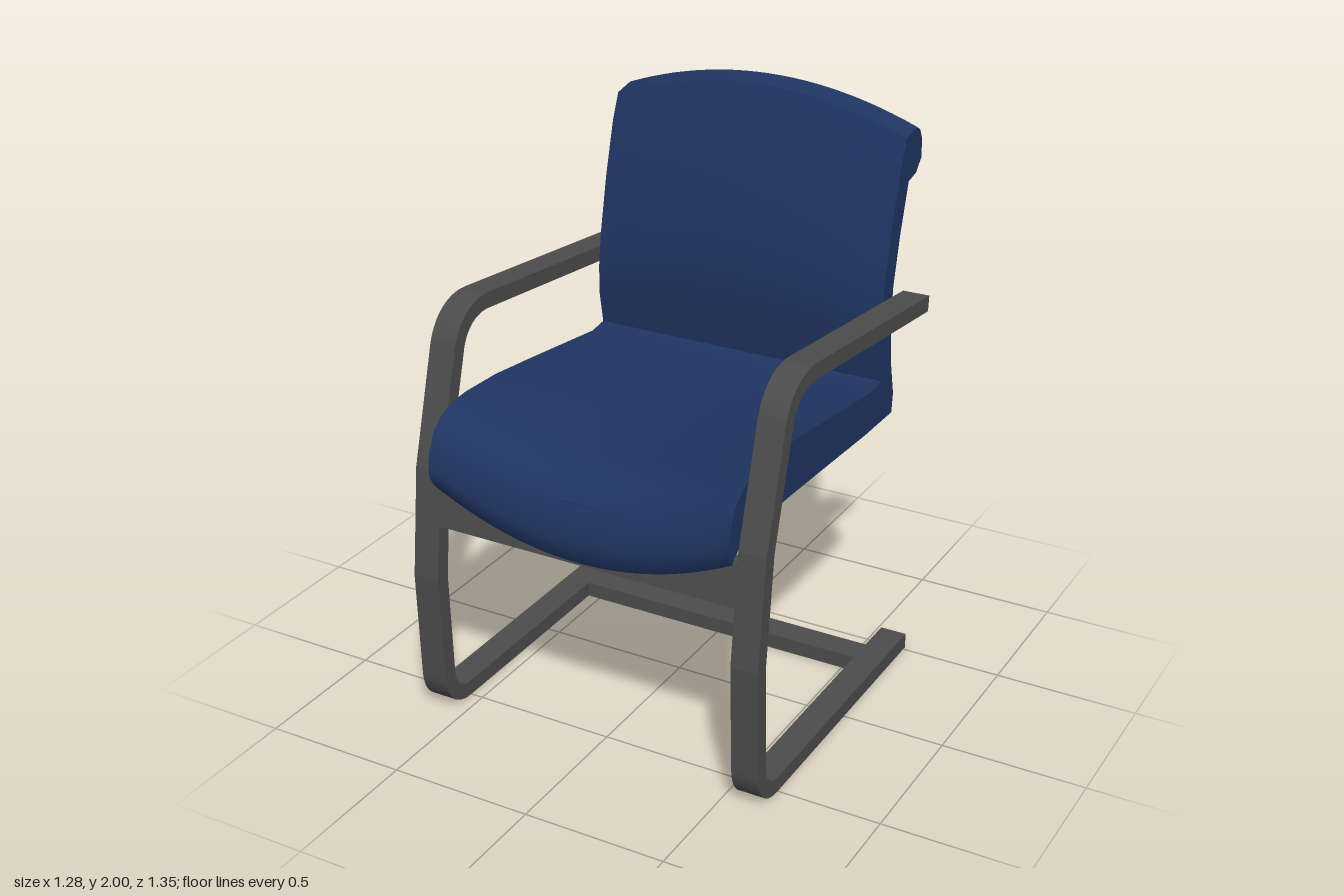
import * as THREE from 'three';

const HALF = 0.545; // half width of the upholstery

// Side profiles at the edge: [z, y, rise at the centre line]
const seatTop = [
  [-0.415, 1.065, 0], [-0.34, 1.055, -0.01], [-0.1, 1.083, -0.04], [0.1, 1.106, -0.065], [0.28, 1.125, -0.09],
  [0.45, 1.13, -0.1], [0.53, 1.123, -0.105], [0.59, 1.103, -0.11], [0.64, 1.06, -0.115], [0.664, 1.01, -0.12],
  [0.677, 0.95, -0.13], [0.672, 0.91, -0.135], [0.65, 0.875, -0.14],
];
const seatUnderside = [
  [0.65, 0.875, -0.14], [0.645, 0.888, 0.05], [0.6, 0.92, 0.06], [0.5, 0.945, 0.07],
  [0.1, 0.93, 0.085], [-0.3, 0.912, 0.09], [-0.515, 0.91, 0.09],
];
const backShell = [
  [-0.515, 0.91, 0.09], [-0.522, 0.98, 0.09], [-0.493, 1.1, 0.095], [-0.476, 1.25, 0.1],
  [-0.482, 1.38, 0.1], [-0.52, 1.55, 0.105], [-0.572, 1.725, 0.105],
];
const bolsterRear = [
  [-0.572, 1.725, 0.105], [-0.63, 1.738, 0.105], [-0.67, 1.78, 0.105],
  [-0.668, 1.845, 0.105], [-0.65, 1.88, 0.105], [-0.622, 1.897, 0.105],
];
const bolsterTop = [[-0.622, 1.897, 0.105], [-0.54, 1.88, 0.105]];
const backFront = [
  [-0.54, 1.88, 0.105], [-0.502, 1.79, 0.105], [-0.45, 1.6, 0.1], [-0.408, 1.4, 0.095],
  [-0.393, 1.28, 0.08], [-0.394, 1.18, 0.05], [-0.415, 1.065, 0],
];

// Sweep a profile across x, arching it by its centre rise
function loft(profile, cols = 24) {
  const pos = [], idx = [], w = cols + 1;
  profile.forEach(([z, y, rise], i) => {
    for (let j = 0; j <= cols; j++) {
      const t = (j / cols) * 2 - 1;
      pos.push(t * HALF, y + rise * (1 - t * t), z);
      if (i < profile.length - 1 && j < cols) {
        const a = i * w + j;
        idx.push(a, a + w, a + 1, a + 1, a + w, a + w + 1);
      }
    }
  });
  const g = new THREE.BufferGeometry();
  g.setAttribute('position', new THREE.Float32BufferAttribute(pos, 3));
  g.setIndex(idx);
  g.computeVertexNormals();
  return g;
}

// Side frame outline: a bent flat bar of even thickness, in (-z, y)
function sideFrameGeometry() {
  const path = new THREE.Path();
  path.moveTo(0.515, 0.028);
  path.lineTo(-0.5, 0.028);
  path.bezierCurveTo(-0.57, 0.028, -0.613, 0.07, -0.616, 0.14);
  path.lineTo(-0.63, 0.52);
  path.lineTo(-0.587, 0.9);
  path.lineTo(-0.475, 1.29);
  path.bezierCurveTo(-0.45, 1.365, -0.385, 1.405, -0.3, 1.398);
  path.lineTo(0.567, 1.312);
  const pts = path.getPoints(16);
  const outer = [], inner = [];
  pts.forEach((p, i) => {
    const a = pts[Math.max(i - 1, 0)], b = pts[Math.min(i + 1, pts.length - 1)];
    const d1 = p.clone().sub(a).normalize(), d2 = b.clone().sub(p).normalize();
    const d = d1.add(d2).normalize();
    const n = new THREE.Vector2(-d.y, d.x).multiplyScalar(0.0275);
    outer.push(p.clone().add(n));
    inner.push(p.clone().sub(n));
  });
  const shape = new THREE.Shape([...outer, ...inner.reverse()]);
  return new THREE.ExtrudeGeometry(shape, { depth: 0.095, bevelEnabled: false }).rotateY(Math.PI / 2);
}

export function createModel() {
  const blue = new THREE.MeshStandardMaterial({ color: 0x1f3461, side: THREE.DoubleSide });
  blue.name = 'blueFabric';
  const grey = new THREE.MeshStandardMaterial({ color: 0x8c8c8c, side: THREE.DoubleSide });
  grey.name = 'greyShell';
  const dark = new THREE.MeshStandardMaterial({ color: 0x4c4c4c });
  dark.name = 'darkFrame';

  const model = new THREE.Group();
  model.name = 'chair';
  const add = (name, geometry, material) => {
    const m = new THREE.Mesh(geometry, material);
    m.name = name;
    model.add(m);
    return m;
  };

  // Upholstery surfaces
  add('seatTop', loft(seatTop), blue);
  add('seatUnderside', loft(seatUnderside), blue);
  add('backShell', loft(backShell), grey);
  add('bolsterRear', loft(bolsterRear), grey);
  add('bolsterTop', loft(bolsterTop), blue);
  add('backFront', loft(backFront), blue);

  // Flat upholstery sides
  const outline = [seatTop, seatUnderside, backShell, bolsterRear, bolsterTop, backFront]
    .flatMap((run) => run.slice(0, -1));
  for (const s of [1, -1]) {
    const shape = new THREE.Shape(outline.map(([z, y]) => new THREE.Vector2(-s * z, y)));
    const side = new THREE.ShapeGeometry(shape).rotateY((s * Math.PI) / 2);
    add(s > 0 ? 'leftSide' : 'rightSide', side, blue).position.x = s * HALF;
  }

  // Cantilever frame with armrests
  const frame = sideFrameGeometry();
  add('leftFrame', frame, dark).position.x = 0.545;
  add('rightFrame', frame, dark).position.x = -0.64;

  // Cross members: seat apron leaning with the legs, and floor bar
  const apron = add('seatApron', new THREE.BoxGeometry(1.09, 0.15, 0.055), dark);
  apron.position.set(0, 0.79, 0.6);
  apron.rotation.x = -0.113;
  add('floorBar', new THREE.BoxGeometry(1.09, 0.055, 0.1), dark).position.set(0, 0.0275, -0.33);

  return model;
}
